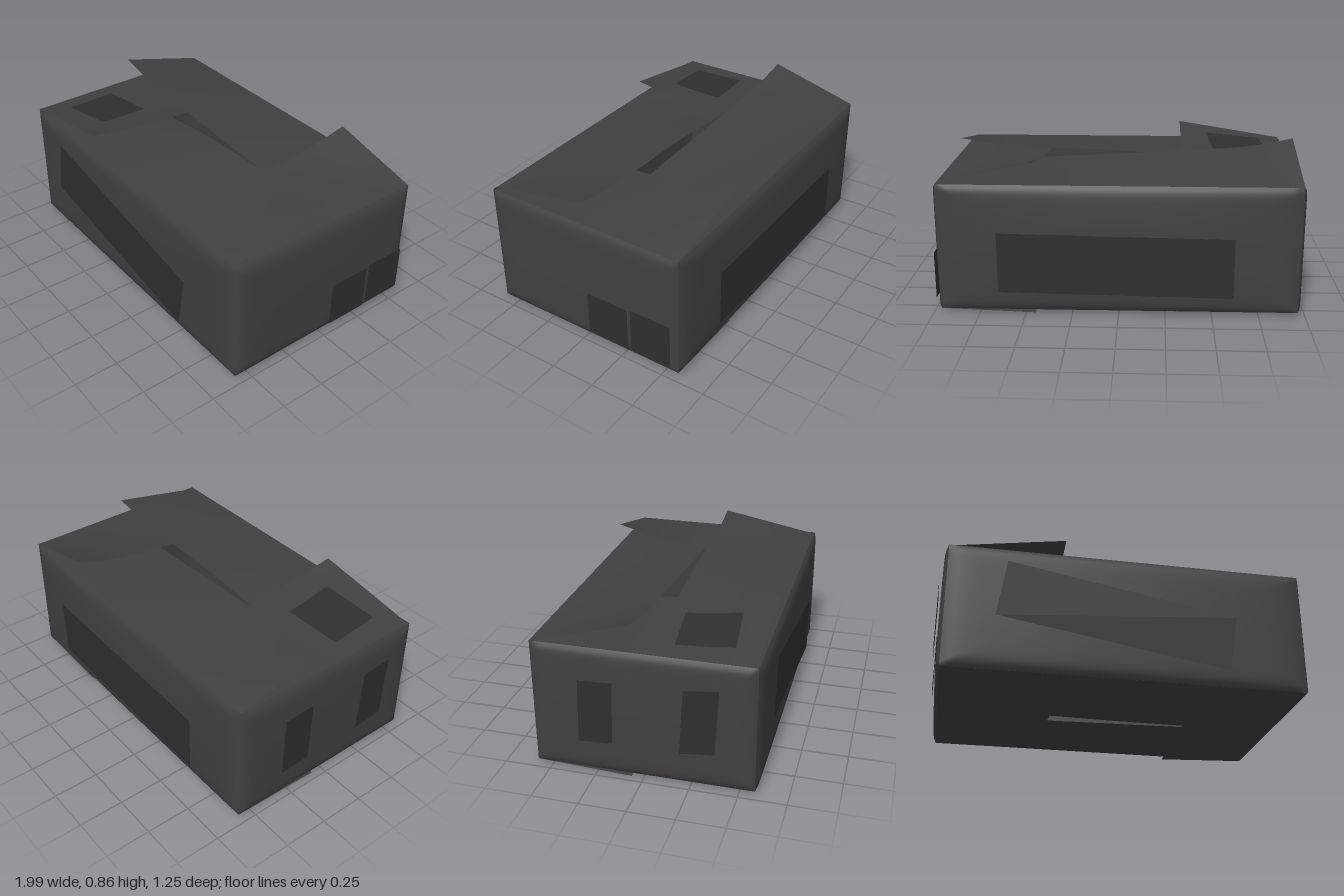
import * as THREE from 'three';

const cardboard = new THREE.MeshStandardMaterial({ color: 0x404040, side: THREE.DoubleSide });
const paper = new THREE.MeshStandardMaterial({ color: 0x2f2f2f, side: THREE.DoubleSide });

const lerp = THREE.MathUtils.lerp;

// Bent sheet: fn(u, v) gives [x, y, z] for u, v in 0..1
function sheet(name, fn, material = cardboard, nu = 48, nv = 24) {
  const geo = new THREE.PlaneGeometry(1, 1, nu, nv);
  const pos = geo.attributes.position;
  for (let i = 0; i < pos.count; i++) {
    pos.setXYZ(i, ...fn(pos.getX(i) + 0.5, pos.getY(i) + 0.5));
  }
  geo.computeVertexNormals();
  const mesh = new THREE.Mesh(geo, material);
  mesh.name = name;
  return mesh;
}

// Smooth height along a flap's free edge, from [position, height] pairs
function heightCurve(points) {
  return (p) => {
    let i = 0;
    while (i < points.length - 2 && p > points[i + 1][0]) i++;
    const [a, b] = [points[i], points[i + 1]];
    const slope = (k) => {
      const l = points[Math.max(k - 1, 0)], r = points[Math.min(k + 1, points.length - 1)];
      return (r[1] - l[1]) / (r[0] - l[0]);
    };
    const w = b[0] - a[0], t = (p - a[0]) / w, t2 = t * t, t3 = t2 * t;
    return (2 * t3 - 3 * t2 + 1) * a[1] + (t3 - 2 * t2 + t) * w * slope(i)
      + (3 * t2 - 2 * t3) * b[1] + (t3 - t2) * w * slope(i + 1);
  };
}

const HINGE = 0.72;

// Flaps overlap like a pinwheel: each has one raised end and one tucked end
const flaps = [
  { name: 'FrontFlap', axis: 'x', from: -0.955, to: 0.935, hinge: 0.58, free: [0.005, 0.005],
    edge: [[-0.96, 0.695], [-0.34, 0.732], [0, 0.765], [0.65, 0.79], [0.94, 0.83]] },
  { name: 'BackFlap', axis: 'x', from: -0.96, to: 0.955, hinge: -0.58, free: [-0.065, -0.025],
    edge: [[-0.96, 0.86], [-0.7, 0.81], [-0.08, 0.765], [0.42, 0.735], [0.96, 0.695]] },
  { name: 'LeftSideFlap', axis: 'z', from: -0.575, to: 0.57, hinge: -0.96, free: [-0.345, -0.34],
    edge: [[-0.58, 0.7], [-0.3, 0.728], [0, 0.755], [0.3, 0.78], [0.57, 0.82]] },
  { name: 'RightSideFlap', axis: 'z', from: -0.58, to: 0.57, hinge: 0.96, free: [0.45, 0.41],
    edge: [[-0.58, 0.845], [-0.33, 0.787], [0, 0.748], [0.57, 0.7]] },
];

function addFlap(group, f) {
  const edge = heightCurve(f.edge);
  for (const top of [true, false]) {
    group.add(sheet((top ? 'top' : 'bottom') + f.name, (u, v) => {
      const along = lerp(f.from, f.to, u);
      const across = lerp(f.hinge, lerp(f.free[0], f.free[1], u), v);
      let y = lerp(HINGE, edge(along), v);
      // The underside follows the same pattern, pressed nearly flat
      if (!top) y = 0.022 - (y - 0.725) * 0.15;
      return f.axis === 'x' ? [along, y, across] : [across, y, along];
    }));
  }
}

// Flat paper label from four corners in order around its outline
function label(name, a, b, c, d) {
  return sheet(name, (u, v) =>
    a.map((_, i) => lerp(lerp(a[i], b[i], u), lerp(d[i], c[i], u), v)), paper, 1, 1);
}

export function createModel() {
  const box = new THREE.Group();
  box.name = 'cardboardBox';

  // Slightly bulging walls, drawn in at their rims
  const walls = [
    { name: 'frontWall', axis: 'x', sign: 1, half: 0.96, out: 0.6, bulge: 0.008 },
    { name: 'backWall', axis: 'x', sign: -1, half: 0.96, out: 0.6, bulge: 0.022 },
    { name: 'rightSideWall', axis: 'z', sign: 1, half: 0.58, out: 0.98, bulge: 0.006 },
    { name: 'leftSideWall', axis: 'z', sign: -1, half: 0.58, out: 0.98, bulge: 0.008 },
  ];
  for (const w of walls) {
    box.add(sheet(w.name, (u, v) => {
      const s = u * 2 - 1, t = v * 2 - 1;
      const rim = 0.02 * Math.max(s ** 24, t ** 16);
      const out = w.sign * (w.out + w.bulge * (1 - s * s) * (1 - t * t) - rim);
      const y = lerp(0.023, HINGE, v);
      return w.axis === 'x' ? [s * w.half, y, out] : [out, y, s * w.half];
    }, cardboard, 64, 40));
  }

  flaps.forEach((f) => addFlap(box, f));

  // Large labels on the long walls
  box.add(label('frontLabel',
    [-0.7, 0.31, 0.622], [0.53, 0.1, 0.622], [0.58, 0.41, 0.622], [-0.65, 0.63, 0.622]));
  box.add(label('backLabel',
    [0.64, 0.14, -0.628], [-0.61, 0.12, -0.628], [-0.61, 0.45, -0.628], [0.64, 0.47, -0.628]));

  // Pairs of small labels on the end walls: x, z range, y range, tilt
  const small = [
    ['rightSideLabel', 0.992, -0.04, -0.29, 0.06, 0.32, 0],
    ['rightSideLabel', 0.992, -0.31, -0.55, 0.07, 0.33, 0],
    ['leftSideLabel', -1, -0.33, -0.15, 0.2, 0.55, 0.01],
    ['leftSideLabel', -1, 0.2, 0.38, 0.21, 0.57, 0.02],
  ];
  for (const [name, x, z0, z1, y0, y1, k] of small) {
    box.add(label(name, [x, y0, z0], [x, y0 + k, z1], [x, y1 + k, z1 + k], [x, y1, z0 + k]));
  }

  // Label lying on the raised end of the top flap
  const side = flaps[2], sideEdge = heightCurve(side.edge);
  box.add(sheet('topLabel', (u, v) => {
    const x = -0.85 + 0.325 * u + 0.025 * v;
    const z = 0.14 - 0.03 * u + 0.3 * v;
    const t = (x - side.hinge) / (side.free[0] - side.hinge);
    return [x, lerp(HINGE, sideEdge(z), t) + 0.006, z];
  }, paper, 8, 8));

  return box;
}
